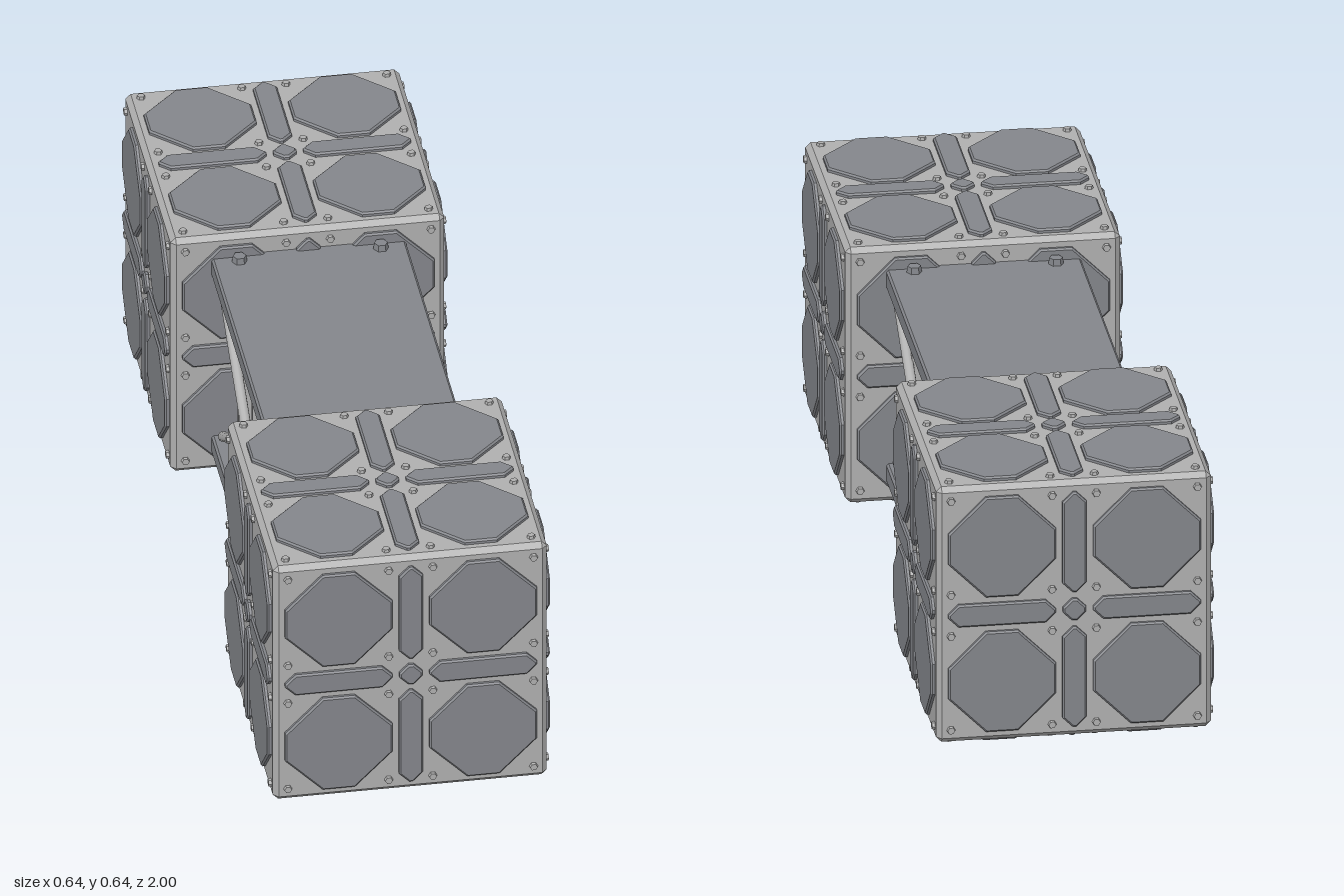
import * as THREE from 'three';
import { ConvexGeometry } from 'three/addons/geometries/ConvexGeometry.js';

const CORE = 0.31;   // half size of a cube without its plates
const MID = 0.32;    // height of the model's centre

const frameGrey = new THREE.MeshStandardMaterial({ color: 0xb0b0b0 });
frameGrey.name = 'light frame grey';
const plateGrey = new THREE.MeshStandardMaterial({ color: 0x84868b });
plateGrey.name = 'dark plate grey';

function add(parent, name, geometry, material, x = 0, y = 0, z = 0) {
  const mesh = new THREE.Mesh(geometry, material);
  mesh.name = name;
  mesh.position.set(x, y, z);
  parent.add(mesh);
  return mesh;
}

// Box with every edge chamfered
function chamferBox(hx, hy, hz, c) {
  const points = [];
  for (const x of [-1, 1]) for (const y of [-1, 1]) for (const z of [-1, 1]) {
    points.push(
      new THREE.Vector3(x * hx, y * (hy - c), z * (hz - c)),
      new THREE.Vector3(x * (hx - c), y * hy, z * (hz - c)),
      new THREE.Vector3(x * (hx - c), y * (hy - c), z * hz));
  }
  return new ConvexGeometry(points);
}

// Raised plate: rectangle with cut corners and a small bevel, 0.01 proud of z = 0
function cutPlate(hx, hy, cut) {
  const shape = new THREE.Shape([
    [hx - cut, -hy], [hx, -hy + cut], [hx, hy - cut], [hx - cut, hy],
    [-hx + cut, hy], [-hx, hy - cut], [-hx, -hy + cut], [-hx + cut, -hy],
  ].map(([x, y]) => new THREE.Vector2(x, y)));
  const bevel = 0.004;
  const g = new THREE.ExtrudeGeometry(shape, {
    depth: 0.01, bevelEnabled: true, bevelSegments: 1,
    bevelThickness: bevel, bevelSize: bevel, bevelOffset: -bevel,
  });
  return g.translate(0, 0, -0.004);
}

function hexBolt(radius, height) {
  const g = new THREE.CylinderGeometry(radius * 0.8, radius, height, 6).toNonIndexed();
  g.computeVertexNormals();
  return g.rotateY(Math.PI / 2);
}

const octagon = cutPlate(0.1215, 0.1215, 0.085);
const barAcross = cutPlate(0.1215, 0.027, 0.023);
const barUp = cutPlate(0.027, 0.1215, 0.023);
const diamond = cutPlate(0.026, 0.026, 0.02);
const smallBolt = hexBolt(0.0105, 0.01).rotateX(Math.PI / 2);
const largeBolt = hexBolt(0.019, 0.026);

// Plates and bolts of one cube face, facing +z
function createFace() {
  const face = new THREE.Group();
  face.name = 'cubeFace';
  const c = 0.1635;
  for (const sx of [-1, 1]) {
    for (const sy of [-1, 1]) add(face, 'octagonPlate', octagon, plateGrey, sx * c, sy * c, CORE);
    add(face, 'horizontalBar', barAcross, plateGrey, sx * c, 0, CORE);
    add(face, 'verticalBar', barUp, plateGrey, 0, sx * c, CORE);
  }
  add(face, 'centreDiamond', diamond, plateGrey, 0, 0, CORE);
  const spots = [-0.278, -0.05, 0.05, 0.278];
  for (const x of spots) for (const y of spots) add(face, 'faceBolt', smallBolt, frameGrey, x, y, CORE + 0.002);
  return face;
}

function createCube(z) {
  const cube = new THREE.Group();
  cube.name = z > 0 ? 'frontCube' : 'backCube';
  cube.position.set(0, MID, z);
  add(cube, 'cubeFrame', chamferBox(CORE, CORE, CORE, 0.012), frameGrey);
  for (let i = 0; i < 4; i++) {
    const side = createFace();
    side.rotation.y = i * Math.PI / 2;
    cube.add(side);
  }
  for (const s of [-1, 1]) {
    const cap = createFace();
    cap.rotation.x = s * Math.PI / 2;
    cube.add(cap);
  }
  return cube;
}

// Truss bridge between the cubes
function createBridge() {
  const bridge = new THREE.Group();
  bridge.name = 'bridge';
  bridge.position.y = MID;

  // Top and bottom plates with their bolts
  for (const s of [-1, 1]) {
    add(bridge, s > 0 ? 'topPlate' : 'bottomPlate', chamferBox(0.22, 0.023, 0.375, 0.005), plateGrey, 0, s * 0.235);
    for (const x of [-0.16, 0.16]) for (const z of [-0.342, 0.342]) {
      const bolt = add(bridge, 'plateBolt', largeBolt, plateGrey, x, s * 0.26, z);
      if (s < 0) bolt.rotation.x = Math.PI;
    }
  }

  // Central web and cross ribs
  add(bridge, 'centreWeb', new THREE.BoxGeometry(0.02, 0.44, 0.74), plateGrey);
  for (const z of [-0.185, 0, 0.185]) {
    add(bridge, 'crossRib', new THREE.BoxGeometry(0.38, 0.44, 0.016), frameGrey, 0, 0, z);
  }

  // Diagonal rods on both sides
  const rod = new THREE.CylinderGeometry(0.012, 0.012, Math.hypot(0.67, 0.4), 12);
  for (const x of [-0.198, 0.198]) for (const s of [-1, 1]) {
    const brace = add(bridge, 'diagonalRod', rod, frameGrey, x, 0, 0);
    brace.rotation.x = s * Math.atan2(0.67, 0.4);
  }
  return bridge;
}

export function createModel() {
  const model = new THREE.Group();
  model.name = 'twinCubeTruss';
  model.add(createCube(0.68), createCube(-0.68), createBridge());
  return model;
}
